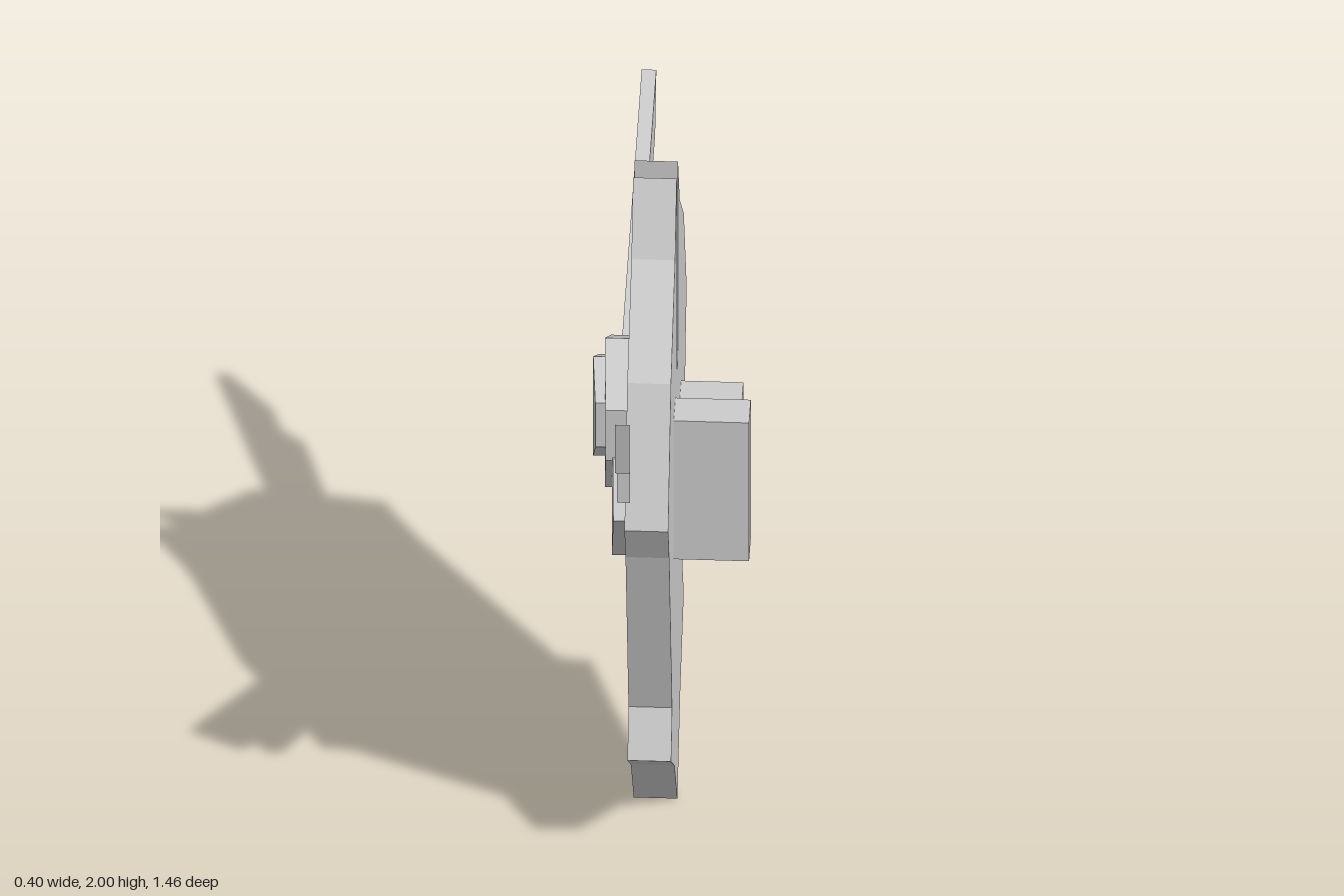
import * as THREE from 'three';

const grey = new THREE.MeshStandardMaterial({ color: 0xcccccc });
grey.name = 'light grey';

// Plate drawn as [z, y] points, reaching from x = back to x = front (front < back).
// slope sweeps it towards +x with distance from the centre line.
function plate(name, points, back, front, slope = 0) {
  const shape = new THREE.Shape(points.map(([z, y]) => new THREE.Vector2(z, y)));
  const geo = new THREE.ExtrudeGeometry(shape, { depth: back - front, bevelEnabled: false });
  geo.rotateY(-Math.PI / 2).translate(back, 0, 0);
  const p = geo.attributes.position;
  for (let i = 0; i < p.count; i++) p.setX(i, p.getX(i) + slope * Math.abs(p.getZ(i)));
  geo.computeVertexNormals();
  const mesh = new THREE.Mesh(geo, grey);
  mesh.name = name;
  return mesh;
}

// Left and right halves of a swept plate
function pair(name, points, back, front, slope) {
  const group = new THREE.Group();
  group.name = name;
  for (const s of [1, -1]) {
    group.add(plate(name + 'Half', points.map(([z, y]) => [s * z, y]), back, front, slope));
  }
  return group;
}

function box(name, x, y, z) {
  const mesh = new THREE.Mesh(new THREE.BoxGeometry(x[1] - x[0], y[1] - y[0], z[1] - z[0]), grey);
  mesh.position.set((x[0] + x[1]) / 2, (y[0] + y[1]) / 2, (z[0] + z[1]) / 2);
  mesh.name = name;
  return mesh;
}

export function createModel() {
  const model = new THREE.Group();
  model.name = 'wingedShield';

  // Body: half outline from the notch to the lower tip, mirrored
  const half = [[0.035, 1.4], [0.035, 2], [0.125, 1.81], [0.35, 1.59], [0.505, 1.24],
    [0.445, 1.11], [0.285, 0.51], [0.345, 0.385], [0.155, 0.225]];
  const mirrored = half.map(([z, y]) => [-z, y]).reverse();
  model.add(plate('shieldBody', [[0, 1.365], ...half, [0, 0], ...mirrored], 0.01, -0.1));

  // Wings: a long upper feather and a shorter lower one
  model.add(pair('upperFeather', [[0, 1.18], [0.16, 1.31], [0.73, 1.75], [0.695, 1.57],
    [0.635, 1.525], [0.43, 1.43], [0, 1.1]], -0.108, -0.145, 0.043));
  model.add(pair('lowerFeather', [[0, 1.18], [0.43, 1.44], [0.635, 1.525], [0.635, 1.43],
    [0.445, 1.295], [0, 0.985]], -0.108, -0.14, 0.043));

  // Layered emblem on the face
  model.add(pair('emblemBase', [[0, 1.2], [0.16, 1.2], [0.26, 1.08], [0, 0.77]], -0.098, -0.155, 0.06));
  model.add(pair('boss', [[0, 1.46], [0.155, 1.35], [0.155, 1.19], [0, 0.985]], -0.095, -0.172, 0.05));
  model.add(pair('bossCap', [[0, 1.4], [0.1, 1.33], [0.1, 1.19], [0, 1.085]], -0.16, -0.202, 0.1));

  // Grip and arm bar on the back
  model.add(box('grip', [0, 0.2], [0.925, 1.365], [0.115, 0.21]));
  model.add(box('armBar', [0, 0.167], [1.085, 1.175], [-0.2, 0.12]));
  return model;
}
